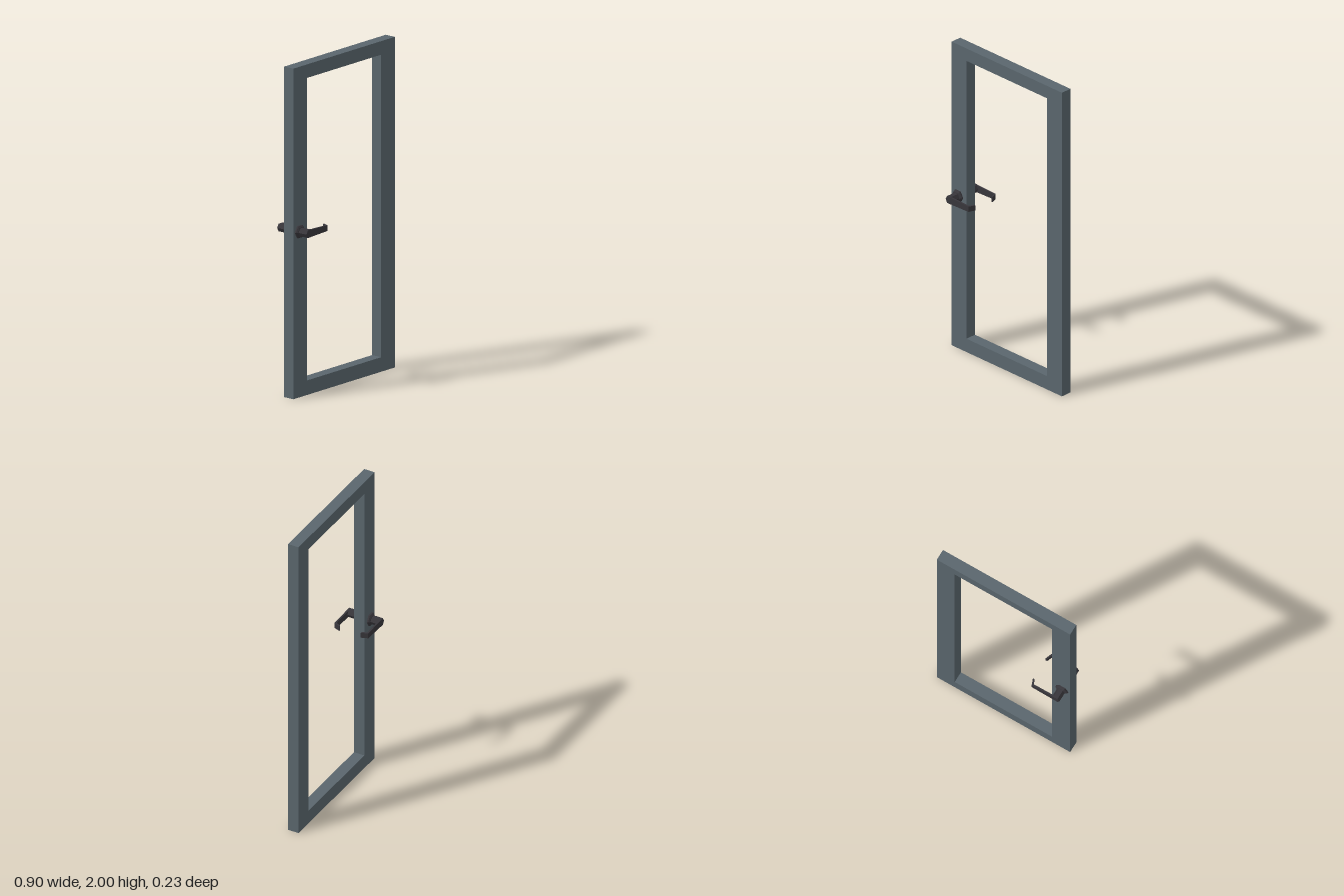
import * as THREE from 'three';

const frameGrey = new THREE.MeshStandardMaterial({ name: 'slateGrey', color: 0x5a666d, flatShading: true });
const handleDark = new THREE.MeshStandardMaterial({ name: 'darkMetal', color: 0x38363b, flatShading: true });

// Six-sided solid along z, with corners pointing to +x and -x
function hexPrism(name, rBack, rFront, z0, z1) {
  const geo = new THREE.CylinderGeometry(rFront, rBack, z1 - z0, 6);
  geo.rotateY(Math.PI / 6).rotateX(Math.PI / 2).translate(0, 0, (z0 + z1) / 2);
  const mesh = new THREE.Mesh(geo, handleDark);
  mesh.name = name;
  return mesh;
}

// Rectangular door frame with one large opening
function makeFrame() {
  const rect = (path, x, y0, y1) =>
    path.moveTo(-x, y0).lineTo(x, y0).lineTo(x, y1).lineTo(-x, y1).closePath();
  const shape = new THREE.Shape();
  rect(shape, 0.4525, 0, 2);
  const hole = new THREE.Path();
  rect(hole, 0.331, 0.088, 1.918);
  shape.holes.push(hole);
  const geo = new THREE.ExtrudeGeometry(shape, { depth: 0.07, bevelEnabled: false });
  geo.translate(0, 0, -0.035);
  const mesh = new THREE.Mesh(geo, frameGrey);
  mesh.name = 'doorFrame';
  return mesh;
}

// Lever: bent strip seen from above, narrowing in height towards its tip
function makeLever() {
  const outline = [
    [-0.012, 0.102], [0.154, 0.102], [0.167, 0.0715], [0.177, 0.0715], [0.161, 0.1128], [-0.012, 0.1128],
  ].map(([x, z]) => new THREE.Vector2(x, z));
  const geo = new THREE.ExtrudeGeometry(new THREE.Shape(outline), { depth: 2, bevelEnabled: false });
  geo.translate(0, 0, -1).rotateX(Math.PI / 2);
  const pos = geo.attributes.position;
  for (let i = 0; i < pos.count; i++) {
    const t = THREE.MathUtils.clamp(pos.getX(i) / 0.177, 0, 1);
    pos.setY(i, pos.getY(i) * THREE.MathUtils.lerp(0.023, 0.0165, t));
  }
  geo.computeVertexNormals();
  const mesh = new THREE.Mesh(geo, handleDark);
  mesh.name = 'lever';
  return mesh;
}

function makeHandle(name) {
  const handle = new THREE.Group();
  handle.name = name;
  handle.add(
    hexPrism('roseBase', 0.0415, 0.0415, 0.034, 0.044),
    hexPrism('roseBevel', 0.0415, 0.031, 0.044, 0.052),
    hexPrism('spindle', 0.0267, 0.0267, 0.05, 0.1126),
    makeLever(),
  );
  handle.position.set(-0.399, 1.004, 0);
  return handle;
}

export function createModel() {
  const door = new THREE.Group();
  door.name = 'door';
  const front = makeHandle('frontHandle');
  // Turned over the x axis, the same handle serves the other side
  const back = makeHandle('backHandle');
  back.rotation.x = Math.PI;
  door.add(makeFrame(), front, back);
  return door;
}
